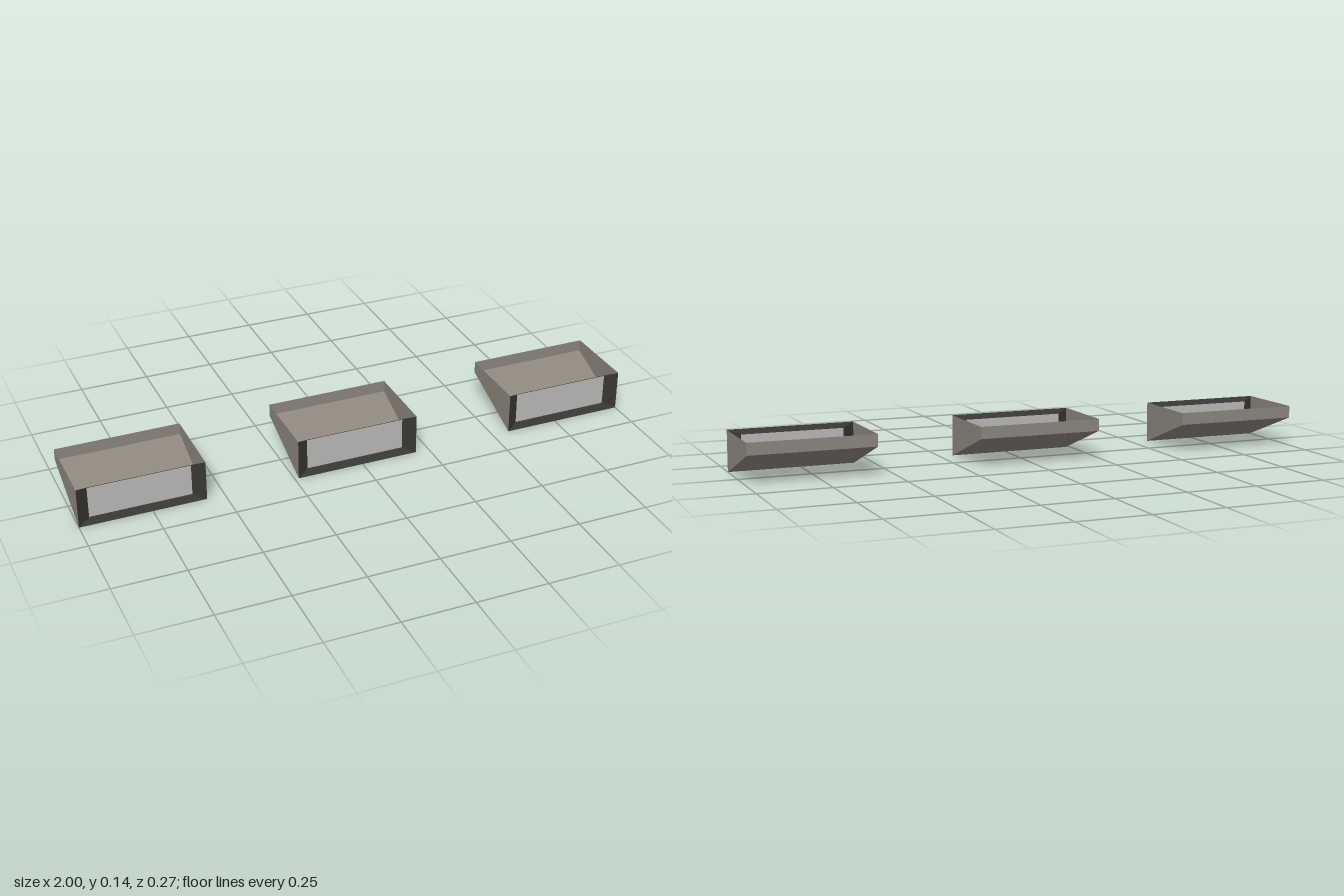
import * as THREE from 'three';

const WIDTH = 0.437, HEIGHT = 0.143, BACK_Y = 0.101, DEPTH = 0.137;

// Flat-shaded surface from a list of four-cornered faces
function quads(list) {
  const pos = [];
  for (const [a, b, c, d] of list) pos.push(...a, ...b, ...c, ...a, ...c, ...d);
  const g = new THREE.BufferGeometry();
  g.setAttribute('position', new THREE.Float32BufferAttribute(pos, 3));
  g.computeVertexNormals();
  return g;
}

// Rectangle corners, counter-clockwise seen from the front
const rect = (x, y0, y1, z) => [[-x, y0, z], [x, y0, z], [x, y1, z], [-x, y1, z]];

export function createModel() {
  const mat = (name, color) => {
    const m = new THREE.MeshStandardMaterial({ color, side: THREE.DoubleSide });
    m.name = name;
    return m;
  };
  const trayMat = mat('warmGrey', 0x8c867c);
  const frameMat = mat('darkGrey', 0x383632);
  const panelMat = mat('paleGrey', 0xbbb9b6);

  const w = WIDTH / 2;
  const front = rect(w, 0, HEIGHT, DEPTH);
  const back = rect(w, BACK_Y, HEIGHT, -DEPTH);
  const inset = rect(w - 0.042, 0.015, HEIGHT - 0.015, DEPTH - 0.026);

  // Open-topped tray: sloping floor, back wall and two side walls
  const trayGeo = quads([
    [front[0], back[0], back[1], front[1]],
    [back[1], back[0], back[3], back[2]],
    [front[1], back[1], back[2], front[2]],
    [back[0], front[0], front[3], back[3]],
  ]);

  // Bevelled frame running in from the front edges to the recessed panel
  const frameGeo = quads(front.map((p, i) => {
    const j = (i + 1) % 4;
    return [p, front[j], inset[j], inset[i]];
  }));
  const panelGeo = quads([inset]);

  const model = new THREE.Group();
  model.name = 'trayRow';
  const names = ['rightTray', 'middleTray', 'leftTray'];
  [-0.7815, -0.0175, 0.7815].forEach((x, i) => {
    const tray = new THREE.Group();
    tray.name = names[i];
    tray.position.x = x;
    for (const [name, geo, m] of [
      ['trayBody', trayGeo, trayMat],
      ['frontFrame', frameGeo, frameMat],
      ['frontPanel', panelGeo, panelMat],
    ]) {
      const mesh = new THREE.Mesh(geo, m);
      mesh.name = name;
      tray.add(mesh);
    }
    model.add(tray);
  });
  return model;
}
